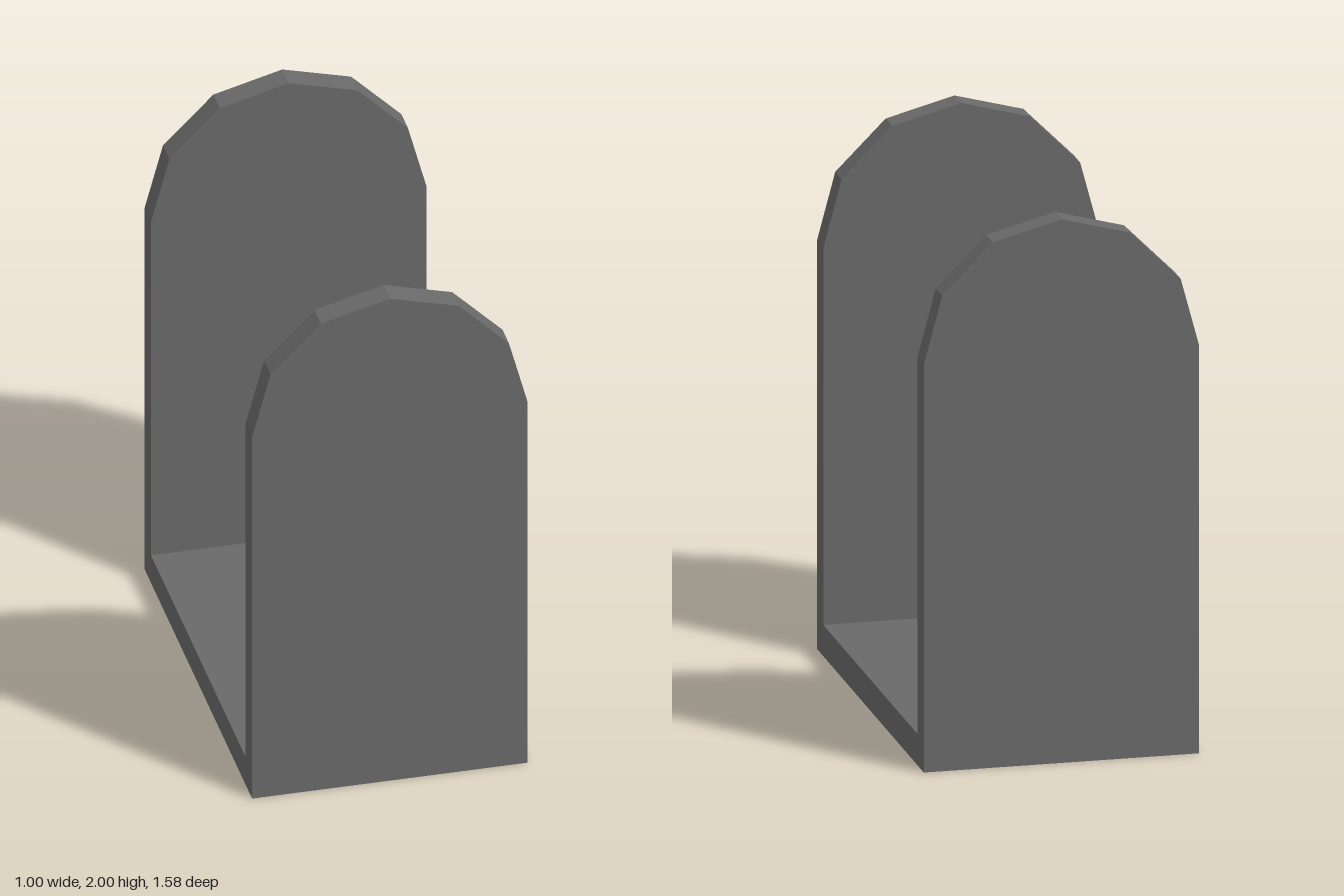
import * as THREE from 'three';

const HALF_WIDTH = 0.5;
const OUTER_Z = 0.79;
const INNER_Z = 0.695;
const BASE_HEIGHT = 0.115;
const SPRING_Y = 1.5; // height where the rounded top begins
const ARCH_SIDES = 6;

export function createModel() {
  const group = new THREE.Group();
  group.name = 'uBracket';
  const material = new THREE.MeshStandardMaterial({ color: 0x696969, flatShading: true });

  // Upright outline: straight sides with a six-sided half-round top
  const outline = [new THREE.Vector2(-HALF_WIDTH, 0), new THREE.Vector2(HALF_WIDTH, 0)];
  for (let i = 0; i <= ARCH_SIDES; i++) {
    const a = (i / ARCH_SIDES) * Math.PI;
    outline.push(new THREE.Vector2(HALF_WIDTH * Math.cos(a), SPRING_Y + HALF_WIDTH * Math.sin(a)));
  }
  const uprightGeometry = new THREE.ExtrudeGeometry(new THREE.Shape(outline), {
    depth: OUTER_Z - INNER_Z,
    bevelEnabled: false,
  });

  // Matching uprights at the front and back
  for (const [name, z] of [['frontUpright', INNER_Z], ['backUpright', -OUTER_Z]]) {
    const upright = new THREE.Mesh(uprightGeometry, material);
    upright.name = name;
    upright.position.z = z;
    group.add(upright);
  }

  // Flat base joining the uprights
  const base = new THREE.Mesh(
    new THREE.BoxGeometry(HALF_WIDTH * 2, BASE_HEIGHT, INNER_Z * 2),
    material
  );
  base.name = 'base';
  base.position.y = BASE_HEIGHT / 2;
  group.add(base);

  return group;
}
